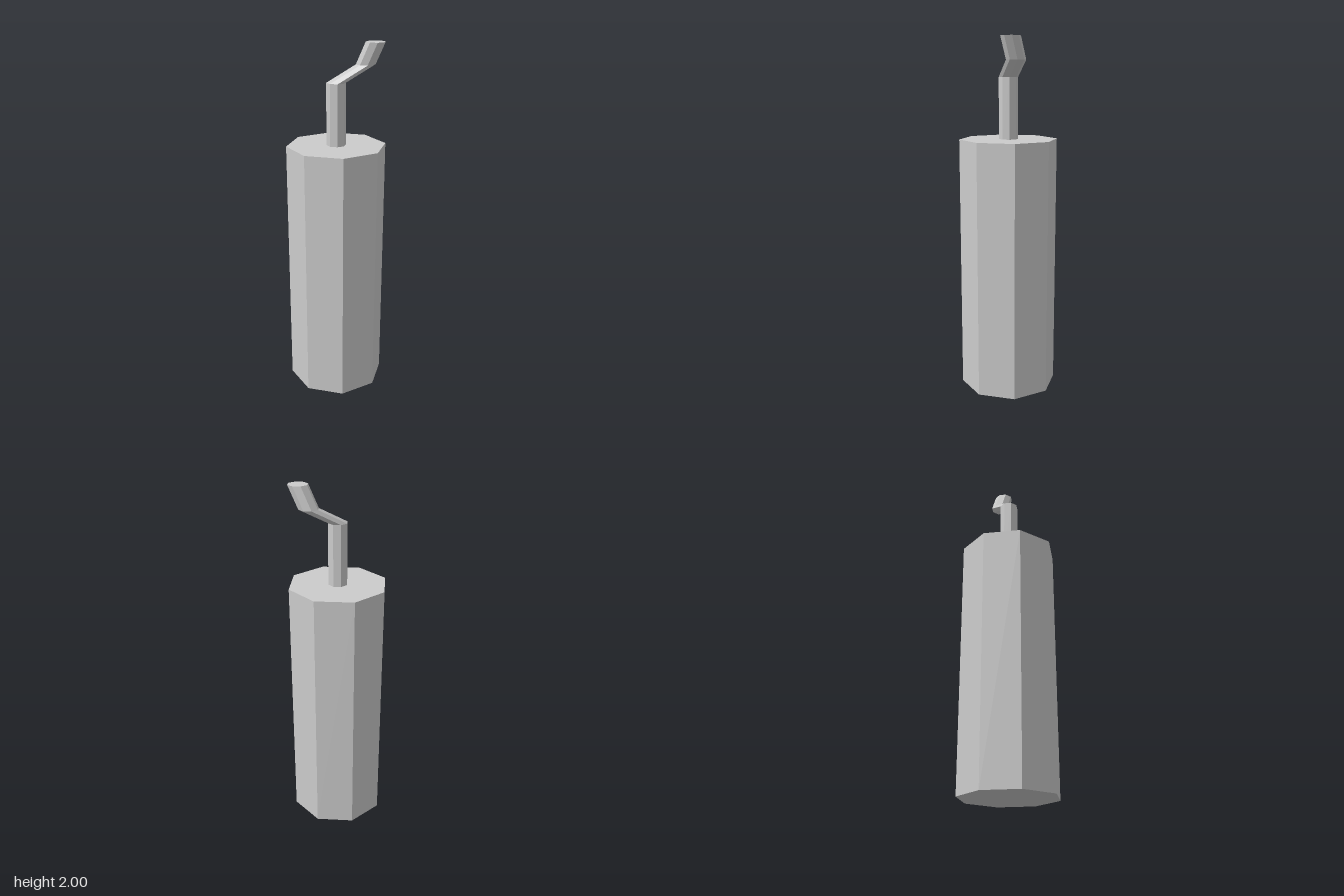
import * as THREE from 'three';

const SIDES = 8;
const BODY_RADIUS = 0.276;
const BODY_HEIGHT = 1.45;
const WICK_RADIUS = 0.054;

// Centres of the wick's horizontal rings, from bottom to top
const WICK_PATH = [
  new THREE.Vector3(0, BODY_HEIGHT, 0),
  new THREE.Vector3(0, 1.79, 0),
  new THREE.Vector3(0.129, 1.88, 0.1),
  new THREE.Vector3(0.136, 2, 0.156),
];

export function createModel() {
  const group = new THREE.Group();
  group.name = 'candle';
  const material = new THREE.MeshStandardMaterial({ color: 0xcccccc, flatShading: true });

  // Octagonal wax body
  const body = new THREE.Mesh(
    new THREE.CylinderGeometry(BODY_RADIUS, BODY_RADIUS, BODY_HEIGHT, SIDES), material);
  body.name = 'body';
  body.position.y = BODY_HEIGHT / 2;
  group.add(body);

  // Bent wick: each ring of a unit-step cylinder moves to its path point
  const spans = WICK_PATH.length - 1;
  const wickGeometry = new THREE.CylinderGeometry(WICK_RADIUS, WICK_RADIUS, spans, SIDES, spans);
  const pos = wickGeometry.attributes.position;
  for (let i = 0; i < pos.count; i++) {
    const centre = WICK_PATH[Math.round(pos.getY(i) + spans / 2)];
    pos.setXYZ(i, pos.getX(i) + centre.x, centre.y, pos.getZ(i) + centre.z);
  }
  wickGeometry.computeVertexNormals();
  const wick = new THREE.Mesh(wickGeometry, material);
  wick.name = 'wick';
  group.add(wick);

  return group;
}
